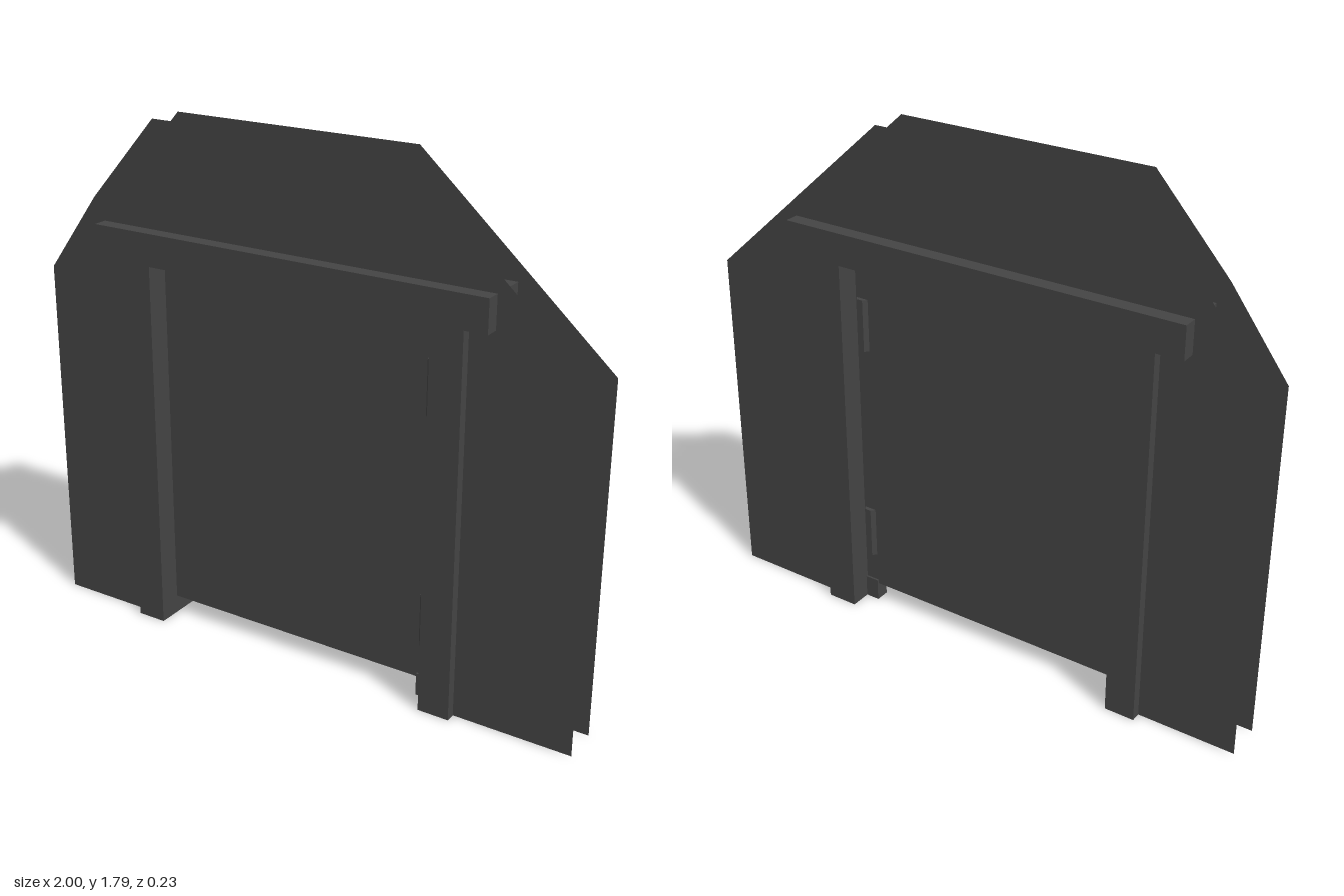
import * as THREE from 'three';

export function createModel() {
  const group = new THREE.Group();
  const dark = new THREE.MeshStandardMaterial({ color: 0x444444, flatShading: true });
  const sheet = new THREE.MeshStandardMaterial({ color: 0x444444, side: THREE.DoubleSide });

  const add = (name, geometry, material = dark) => {
    const mesh = new THREE.Mesh(geometry, material);
    mesh.name = name;
    group.add(mesh);
    return mesh;
  };

  // Box given by its extents in x and y, centred on z = 0
  const box = (name, x0, x1, y0, y1, depth) =>
    add(name, new THREE.BoxGeometry(x1 - x0, y1 - y0, depth))
      .position.set((x0 + x1) / 2, (y0 + y1) / 2, 0);

  // Two open wall sheets, cut out around the doorway
  const outline = [
    [-1, 0], [-0.61, 0], [-0.61, 1.37], [0.535, 1.37], [0.535, 0], [1, 0],
    [1, 1.2], [0.34, 1.79], [-0.545, 1.79], [-0.8, 1.505], [-1, 1.235],
  ].map(([x, y]) => new THREE.Vector2(x, y));
  const wall = new THREE.ShapeGeometry(new THREE.Shape(outline));
  add('frontWall', wall, sheet).position.z = 0.066;
  const back = add('backWall', wall.clone().scale(-1, 1, 1), sheet);
  back.geometry.index.array.reverse();
  back.rotation.y = Math.PI;
  back.position.z = -0.066;

  // Door frame
  box('rightPost', -0.66, -0.555, 0, 1.33, 0.2);
  box('leftPost', 0.48, 0.59, 0, 1.33, 0.2);
  box('lintel', -0.76, 0.675, 1.32, 1.43, 0.233);

  // Door leaf with its pivot foot
  box('door', -0.57, 0.49, 0.065, 1.34, 0.036);
  box('pivotFoot', 0.43, 0.485, 0, 0.08, 0.05);

  // Hinges
  for (const y of [0.28, 1.082]) {
    const hinge = new THREE.CylinderGeometry(0.028, 0.028, 0.185, 8);
    hinge.rotateY(Math.PI / 8).scale(1, 1, 1.25);
    add('hinge', hinge).position.set(0.455, y, 0);
  }

  return group;
}
